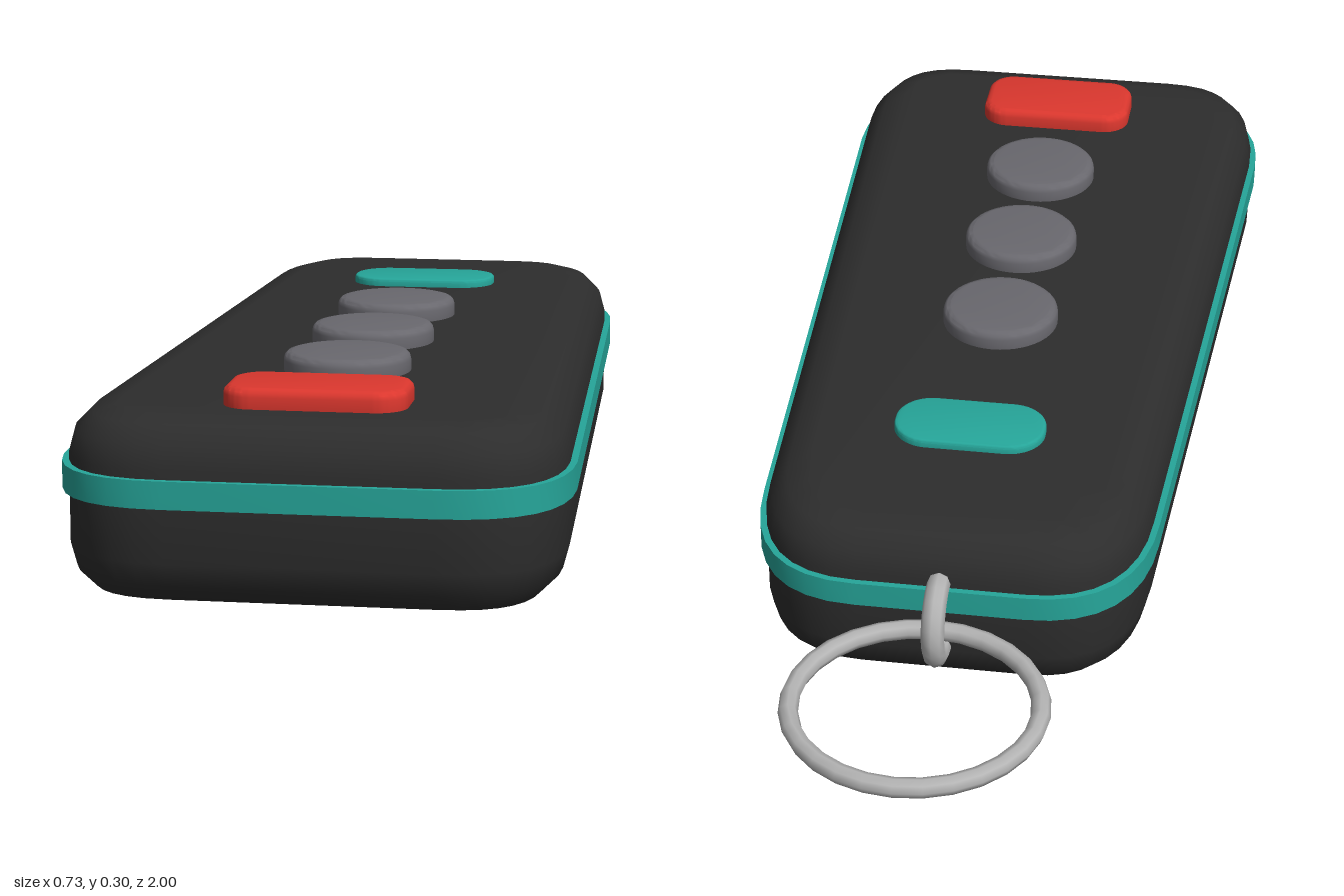
import * as THREE from 'three';
import { mergeVertices, toCreasedNormals } from 'three/addons/utils/BufferGeometryUtils.js';

const mat = (name, color) => new THREE.MeshStandardMaterial({ name, color });

// Tapered outline with rounded corners, grown outwards by o (shape y becomes world z)
function fobOutline(o) {
  const s = new THREE.Shape();
  const f = 0.99 + o, b = -0.575 - o, wf = 0.357 + o, wb = 0.304 + o;
  s.moveTo(-0.19, f);
  s.quadraticCurveTo(-wf - 0.004, f, -wf, 0.79);
  s.lineTo(-wb, -0.36);
  s.quadraticCurveTo(-wb + 0.008, b, -0.13, b);
  s.lineTo(0.13, b);
  s.quadraticCurveTo(wb - 0.008, b, wb, -0.36);
  s.lineTo(wf, 0.79);
  s.quadraticCurveTo(wf + 0.004, f, 0.19, f);
  s.closePath();
  return s;
}

function roundedRect(w, h, r) {
  const s = new THREE.Shape();
  const x = w / 2 - r, y = h / 2 - r;
  s.absarc(x, y, r, 0, Math.PI / 2);
  s.absarc(-x, y, r, Math.PI / 2, Math.PI);
  s.absarc(-x, -y, r, Math.PI, Math.PI * 1.5);
  s.absarc(x, -y, r, Math.PI * 1.5, Math.PI * 2);
  return s;
}

// Extrude a floor-plan shape upwards from y0 to y1 with an inward bevel
function slab(shape, y0, y1, bevel = 0, segments = 3, curveSegments = 8) {
  const g = new THREE.ExtrudeGeometry(shape, {
    depth: y1 - y0 - 2 * bevel, curveSegments, bevelEnabled: bevel > 0,
    bevelSize: bevel, bevelThickness: bevel, bevelOffset: -bevel, bevelSegments: segments,
  });
  g.rotateX(Math.PI / 2).translate(0, y1 - bevel, 0);
  g.deleteAttribute('uv');
  g.deleteAttribute('normal');
  return toCreasedNormals(mergeVertices(g, 1e-4), 0.7);
}

export function createModel() {
  const black = mat('black plastic', 0x2d2d2d);
  const teal = mat('teal', 0x26a69a);
  const grey = mat('grey rubber', 0x69686e);
  const red = mat('red', 0xdb372e);
  const steel = mat('steel', 0xb4b4b4);

  const group = new THREE.Group();
  group.name = 'keyFob';
  const add = (name, geometry, material, x = 0, y = 0, z = 0) => {
    const m = new THREE.Mesh(geometry, material);
    m.name = name;
    m.position.set(x, y, z);
    group.add(m);
    return m;
  };

  // Case and the seam band around it
  add('case', slab(fobOutline(0), 0, 0.268, 0.068), black);
  add('seamBand', slab(fobOutline(0.01), 0.148, 0.188), teal);

  // Round buttons
  const disc = new THREE.Shape().absarc(0, 0, 0.095, 0, Math.PI * 2);
  const discGeometry = slab(disc, 0.25, 0.297, 0.012, 3, 24);
  [0.07, 0.315, 0.56].forEach((z, i) => add('roundButton' + (i + 1), discGeometry, grey, 0, 0, z));

  // Alarm button and indicator
  add('alarmButton', slab(roundedRect(0.264, 0.146, 0.045), 0.25, 0.297, 0.012), red, 0, 0, 0.807);
  add('indicator', slab(roundedRect(0.24, 0.126, 0.058), 0.255, 0.281, 0.005), teal, 0, 0, -0.26);

  // Link through the back of the case, and the key ring
  const link = add('ringLink', new THREE.TorusGeometry(0.06, 0.018, 8, 20), steel, 0, 0.136, -0.58);
  link.rotation.y = Math.PI / 2;
  const ring = add('keyRing', new THREE.TorusGeometry(0.186, 0.015, 8, 28), steel, 0, 0.136, -0.799);
  ring.rotation.x = Math.PI / 2;

  return group;
}
